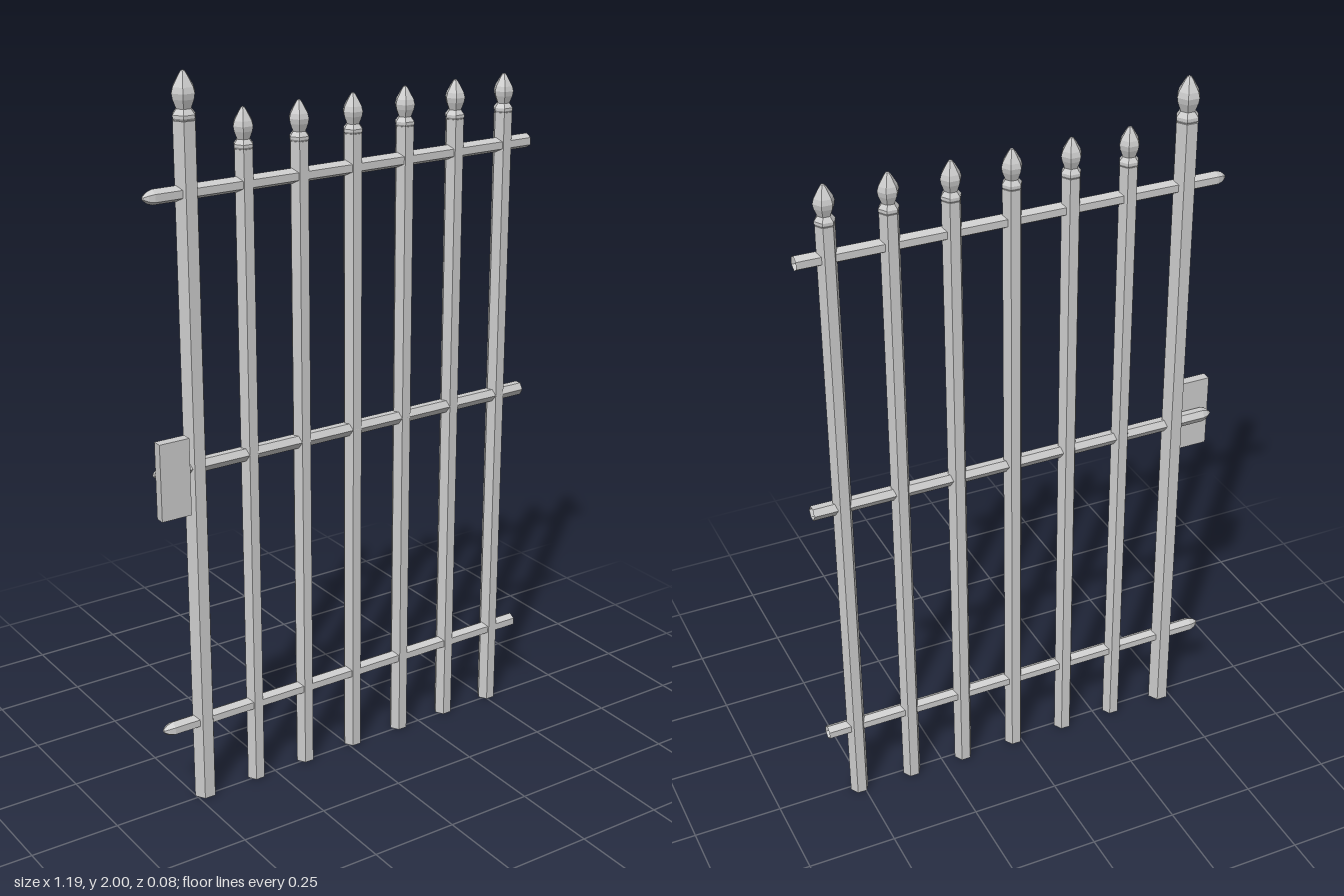
import * as THREE from 'three';

const material = new THREE.MeshStandardMaterial({
  color: 0xcccccc, flatShading: true, side: THREE.DoubleSide,
});

// Six-sided turned part from [radius, height] pairs, open at the lower end
function turned(name, profile, phiStart = Math.PI / 2) {
  const points = profile.map(([r, y]) => new THREE.Vector2(r, y));
  const mesh = new THREE.Mesh(new THREE.LatheGeometry(points, 6, phiStart), material);
  mesh.name = name;
  return mesh;
}

// Hexagonal upright with a ringed collar and a bud-shaped finial
function post(name, x, radius, shoulder, s) {
  const group = new THREE.Group();
  group.name = name;
  group.add(turned(name + 'Shaft', [[radius, 0], [radius, shoulder], [0, shoulder]]));
  const finial = turned(name + 'Finial', [
    [0.024, 0], [0.0275, 0.005], [0.0275, 0.012], [0.022, 0.019],
    [0.018, 0.024], [0.026, 0.044], [0.0285, 0.057], [0.025, 0.07],
    [0.012, 0.092], [0.005, 0.102], [0, 0.104],
  ]);
  finial.position.y = shoulder;
  finial.scale.setScalar(s);
  group.add(finial);
  group.position.set(x, 0, -0.011);
  return group;
}

export function createModel() {
  const model = new THREE.Group();
  model.name = 'fenceGate';

  // Tall latch post followed by six evenly spaced pickets
  model.add(post('latchPost', -0.471, 0.032, 1.88, 1.154));
  for (let i = 0; i < 6; i++) {
    model.add(post('picket', -0.306 + i * 0.1635, 0.0265, 1.79, 1));
  }

  // Three horizontal rails, pointed at the latch end; the middle one is turned on edge
  const railProfile = [
    [0.02, -0.595], [0.02, 0.567], [0.015, 0.582], [0.005, 0.594], [0, 0.595],
  ];
  [['bottomRail', 0.235, Math.PI / 2], ['middleRail', 0.98, 0], ['topRail', 1.702, Math.PI / 2]]
    .forEach(([name, y, phi]) => {
      const rail = turned(name, railProfile, phi);
      rail.rotation.z = Math.PI / 2;
      rail.position.set(0, y, -0.008);
      model.add(rail);
    });

  // Flat latch plate in front of the middle rail
  const plate = new THREE.Mesh(new THREE.BoxGeometry(0.086, 0.212, 0.027), material);
  plate.name = 'latchPlate';
  plate.position.set(-0.556, 0.974, 0.0265);
  model.add(plate);

  return model;
}
